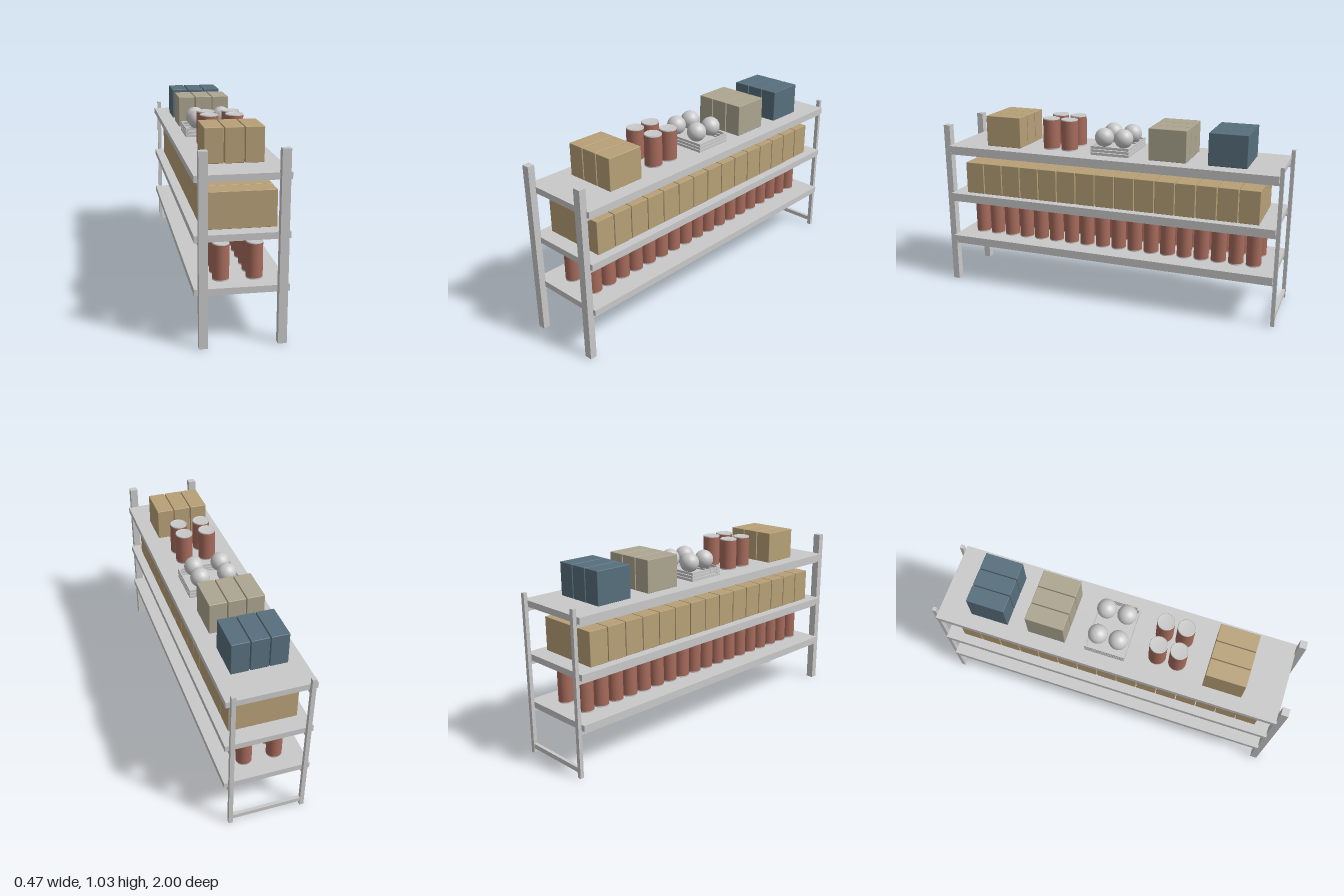
import * as THREE from 'three';
import { RoundedBoxGeometry } from 'three/addons/geometries/RoundedBoxGeometry.js';

const mat = (name, color) => Object.assign(new THREE.MeshStandardMaterial({ color }), { name });

export function createModel() {
  const grey = mat('grey metal', 0xc9c9c9);
  const tan = mat('tan card', 0xb7a077);
  const khaki = mat('khaki card', 0xaca590);
  const blue = mat('slate blue card', 0x576f7d);
  const red = mat('brick red', 0xa76b5c);

  const model = new THREE.Group();
  model.name = 'stockedShelf';
  const shelfTops = [0.294, 0.563, 0.854];

  // box given by its extents on each axis, with optional softened edges
  const box = (name, m, [x0, x1], [y0, y1], [z0, z1], parent = model, bevel = 0) => {
    const size = [x1 - x0, y1 - y0, z1 - z0];
    const geometry = bevel ? new RoundedBoxGeometry(...size, 2, bevel) : new THREE.BoxGeometry(...size);
    const mesh = new THREE.Mesh(geometry, m);
    mesh.position.set((x0 + x1) / 2, (y0 + y1) / 2, (z0 + z1) / 2);
    mesh.name = name;
    parent.add(mesh);
  };
  const group = (name) => {
    const g = new THREE.Group();
    g.name = name;
    model.add(g);
    return g;
  };

  // frame: thick front posts, thin back posts, rails under each shelf
  for (const s of [-1, 1]) {
    const span = (a, b) => (s > 0 ? [a, b] : [-b, -a]);
    box('frontPost', grey, span(0.173, 0.217), [0, 0.974], [0.961, 1]);
    box('backPost', grey, span(0.191, 0.214), [0, 0.895], [-1, -0.979]);
    for (const top of shelfTops)
      box('shelfRail', grey, span(0.192, 0.214), [top - 0.056, top - 0.034], [-0.978, 0.962]);
  }
  box('crossbar', grey, [-0.192, 0.192], [0.029, 0.054], [-0.998, -0.979]);
  for (const top of shelfTops)
    box('shelf', grey, [-0.235, 0.235], [top - 0.034, top], [-0.978, 0.965]);

  // can with a red body and grey rims; the lid is slightly sunken
  const can = (parent, x, y, z, r, h) => {
    const rim = 0.007;
    const add = (name, m, geometry, cy) => {
      const mesh = new THREE.Mesh(geometry, m);
      mesh.position.set(x, cy, z);
      mesh.name = name;
      parent.add(mesh);
    };
    const profile = [[r, 0], [r, rim - 0.002], [r - 0.002, rim], [r - 0.005, rim], [r - 0.006, rim - 0.003], [0, rim - 0.003]];
    const points = profile.map(([a, b]) => new THREE.Vector2(a, b));
    add('canBody', red, new THREE.CylinderGeometry(r, r, h - 2 * rim, 24), y + h / 2);
    add('canBottom', grey, new THREE.CylinderGeometry(r, r, rim, 24), y + rim / 2);
    // profile runs from the axis outward and down so faces point out
    add('canLid', grey, new THREE.LatheGeometry(points, 24), y + h - rim);
  };

  // bottom shelf: two rows of cans
  const lowCans = group('bottomCans');
  for (let i = 0; i < 18; i++)
    for (const x of [-0.085, 0.084]) can(lowCans, x, shelfTops[0], 0.84 - i * 0.0993, 0.0425, 0.191);

  // middle shelf: a row of wide cartons
  const cartons = group('middleCartons');
  for (let i = 0; i < 15; i++) {
    const z = 0.882 - i * 0.118;
    box('carton', tan, [-0.184, 0.186], [shelfTops[1], 0.75], [z - 0.113, z], cartons, 0.002);
  }

  // top shelf: three sets of three boxes
  for (const [name, m, z0, z1] of [
    ['tanBoxes', tan, 0.533, 0.75],
    ['khakiBoxes', khaki, -0.463, -0.248],
    ['blueBoxes', blue, -0.797, -0.583],
  ]) {
    const g = group(name);
    for (const x of [-0.104, -0.002, 0.1])
      box('smallBox', m, [x - 0.0485, x + 0.0485], [shelfTops[2], 1.034], [z0, z1], g, 0.003);
  }

  // top shelf: four cans
  const topCans = group('topCans');
  for (const x of [-0.068, 0.068])
    for (const z of [0.255, 0.368]) can(topCans, x, shelfTops[2], z, 0.0485, 0.18);

  // slatted crate holding four balls
  const crate = group('crate');
  const [x0, x1, z0, z1] = [-0.155, 0.153, -0.135, 0.092];
  box('crateFloor', grey, [x0 + 0.004, x1 - 0.004], [0.856, 0.864], [z0 + 0.004, z1 - 0.004], crate);
  for (let i = 0; i < 3; i++) {
    const y = [0.858 + i * 0.018, 0.872 + i * 0.018];
    for (const z of [z0, z1 - 0.006]) box('crateSlat', grey, [x0, x1], y, [z, z + 0.006], crate);
    for (const x of [x0, x1 - 0.006]) box('crateSlat', grey, [x, x + 0.006], y, [z0, z1], crate);
  }
  for (const x of [x0 + 0.006, x1 - 0.018])
    for (const z of [z0 + 0.006, z1 - 0.018])
      box('cratePost', grey, [x, x + 0.012], [0.856, 0.908], [z, z + 0.012], crate);

  const ball = new THREE.SphereGeometry(0.054, 24, 16);
  for (const x of [-0.078, 0.077])
    for (const z of [-0.08, 0.036]) {
      const mesh = new THREE.Mesh(ball, grey);
      mesh.position.set(x, 0.946, z);
      mesh.name = 'ball';
      crate.add(mesh);
    }
  return model;
}
